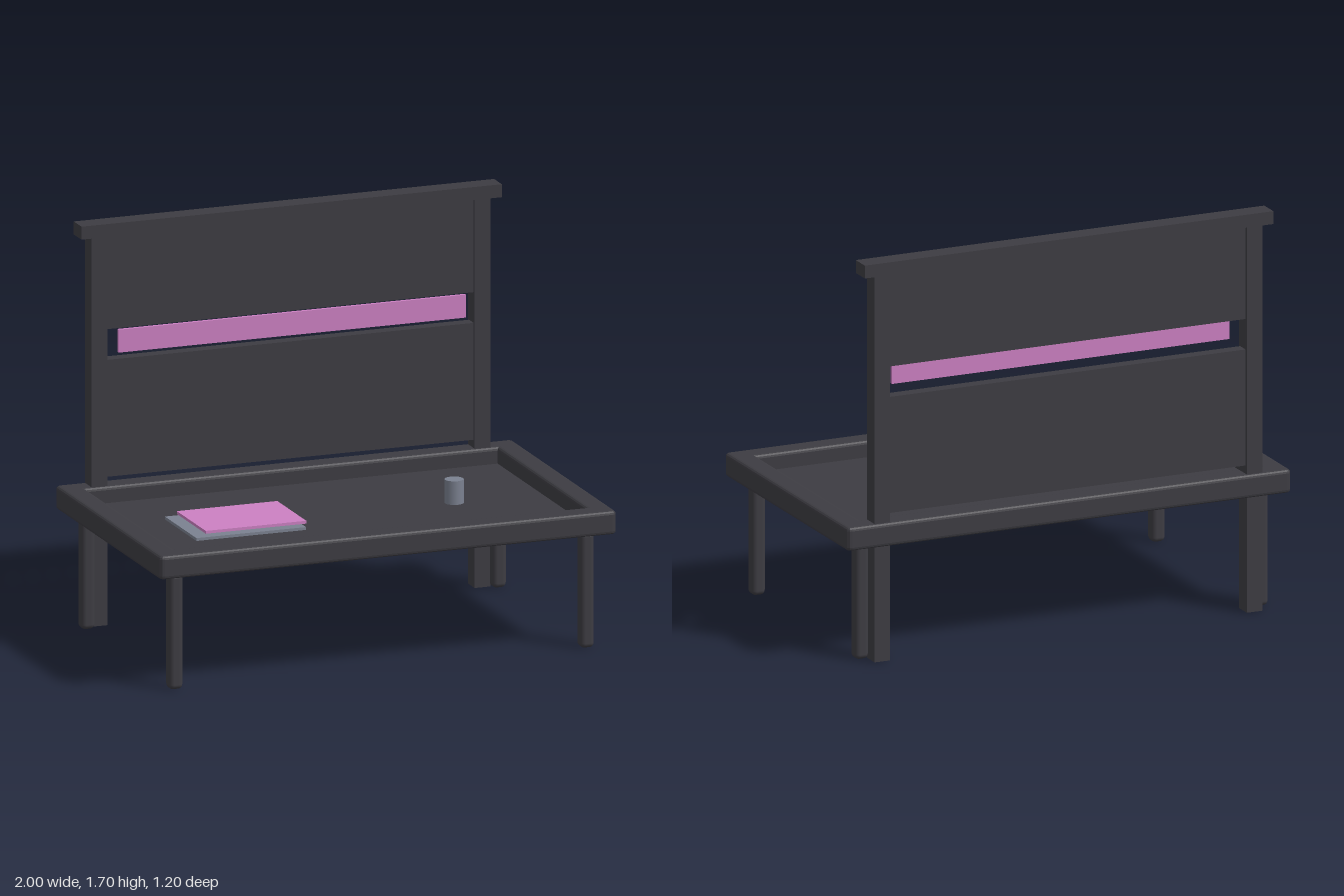
import * as THREE from 'three';
import { RoundedBoxGeometry } from 'three/addons/geometries/RoundedBoxGeometry.js';

export function createModel() {
  const model = new THREE.Group();
  model.name = 'workbench';

  const material = (name, color) => {
    const m = new THREE.MeshStandardMaterial({ color });
    m.name = name;
    return m;
  };
  const dark = material('charcoal', 0x3d3c42);
  const pink = material('pink', 0xcc80c2);
  const grey = material('slate grey', 0x7b8190);

  const add = (name, geometry, mat, x = 0, y = 0, z = 0) => {
    const mesh = new THREE.Mesh(geometry, mat);
    mesh.name = name;
    mesh.position.set(x, y, z);
    model.add(mesh);
    return mesh;
  };
  // Box given by its lower and upper corners
  const box = (name, mat, [x0, y0, z0], [x1, y1, z1]) =>
    add(name, new THREE.BoxGeometry(x1 - x0, y1 - y0, z1 - z0), mat,
      (x0 + x1) / 2, (y0 + y1) / 2, (z0 + z1) / 2);

  // Raised rim round the tray, with softened edges
  const b = 0.015;
  const rectangle = (path, w, h, c) => {
    path.moveTo(-w + c, -h);
    path.lineTo(w - c, -h);
    path.quadraticCurveTo(w, -h, w, -h + c);
    path.lineTo(w, h - c);
    path.quadraticCurveTo(w, h, w - c, h);
    path.lineTo(-w + c, h);
    path.quadraticCurveTo(-w, h, -w, h - c);
    path.lineTo(-w, -h + c);
    path.quadraticCurveTo(-w, -h, -w + c, -h);
    return path;
  };
  const hole = new THREE.Path();
  hole.moveTo(-0.9 - b, -0.5 - b);
  hole.lineTo(-0.9 - b, 0.5 + b);
  hole.lineTo(0.9 + b, 0.5 + b);
  hole.lineTo(0.9 + b, -0.5 - b);
  hole.closePath();
  const rimShape = rectangle(new THREE.Shape(), 1 - b, 0.6 - b, 0.008);
  rimShape.holes.push(hole);
  const rim = new THREE.ExtrudeGeometry(rimShape, {
    depth: 0.1 - 2 * b, bevelThickness: b, bevelSize: b, bevelSegments: 3, curveSegments: 3,
  });
  rim.translate(0, 0, b);
  rim.rotateX(-Math.PI / 2);
  add('tableRim', rim, dark, 0, 0.49, 0);

  // Sunken tray floor
  box('trayFloor', dark, [-0.9 - b, 0.49, -0.5 - b], [0.9 + b, 0.52, 0.5 + b]);

  // Rounded legs and the square posts of the back frame
  for (const side of [-1, 1]) {
    for (const z of [-0.5, 0.5]) {
      add('leg', new RoundedBoxGeometry(0.06, 0.49, 0.06, 3, 0.02), dark, side * 0.9, 0.245, z);
    }
    add('backPost', new THREE.BoxGeometry(0.07, 1.65, 0.076), dark, side * 0.838, 0.825, -0.549);
  }

  // Back panels, with a slot between them, and the cap rail
  box('upperPanel', dark, [-0.805, 1.25, -0.575], [0.805, 1.65, -0.522]);
  box('lowerPanel', dark, [-0.805, 0.625, -0.575], [0.805, 1.12, -0.522]);
  box('capRail', dark, [-0.92, 1.645, -0.593], [0.92, 1.7, -0.505]);

  // Hanging strip in the slot
  box('pinkStrip', pink, [-0.76, 1.153, -0.512], [0.76, 1.25, -0.497]);

  // Sheets lying on the tray, and the knob
  box('greySheet', grey, [-0.68, 0.52, -0.18], [-0.2, 0.532, 0.18]);
  box('pinkSheet', pink, [-0.62, 0.532, -0.2], [-0.18, 0.544, 0.13]);
  add('knob', new THREE.CylinderGeometry(0.04, 0.04, 0.1, 12), grey, 0.517, 0.57, 0);

  return model;
}
